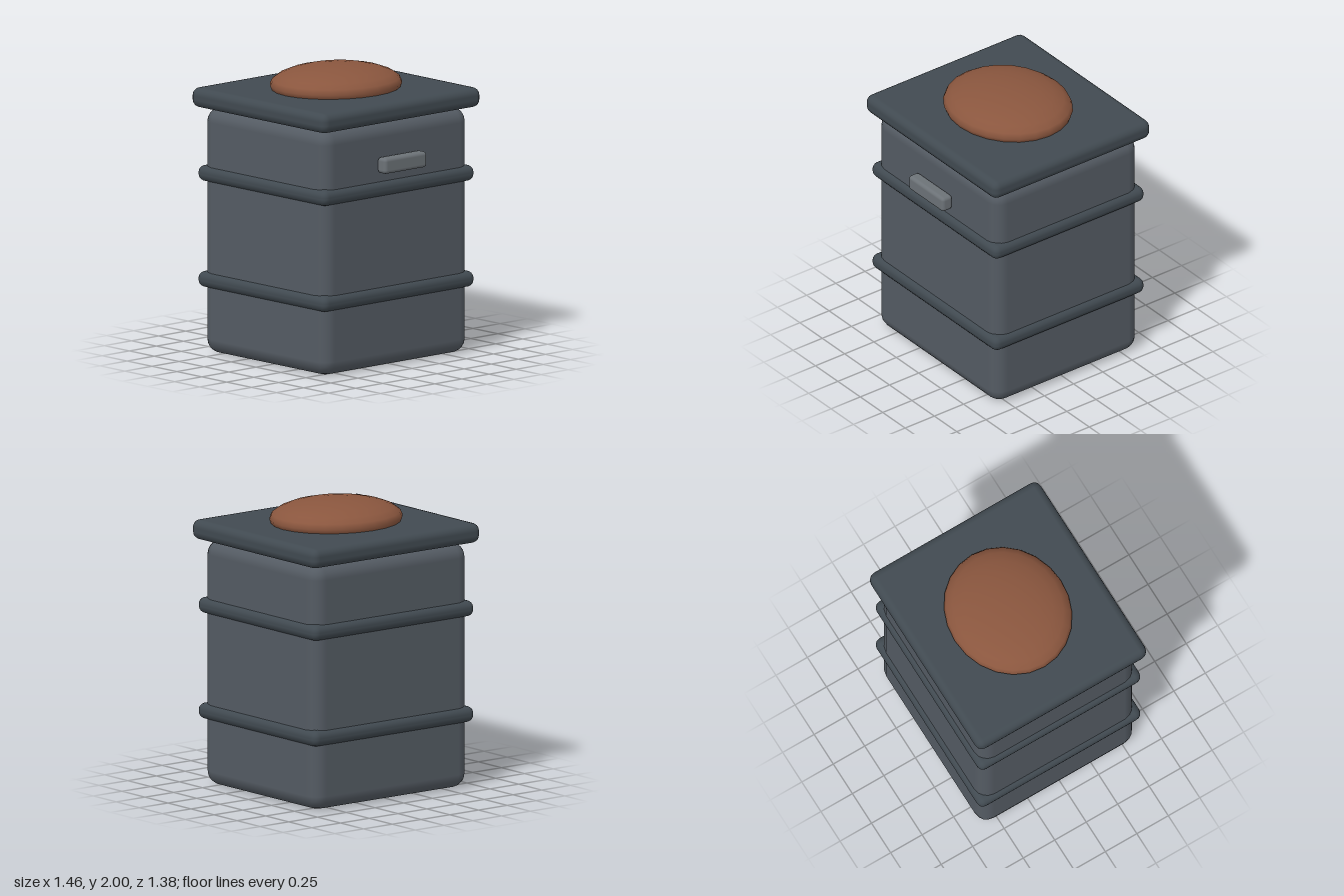
import * as THREE from 'three';
import { RoundedBoxGeometry } from 'three/addons/geometries/RoundedBoxGeometry.js';

const CENTER_Z = -0.014;

function material(color) {
  const m = new THREE.MeshStandardMaterial();
  m.color.set(color);
  return m;
}

export function createModel() {
  const group = new THREE.Group();
  const shell = material(0x545b63);
  const dark = material(0x414a51);
  const metal = material(0x6c7277);
  const leather = material(0x8a563e);

  function add(name, geometry, mat, y, z = CENTER_Z) {
    const mesh = new THREE.Mesh(geometry, mat);
    mesh.name = name;
    mesh.position.set(0, y, z);
    group.add(mesh);
    return mesh;
  }
  const box = (w, h, d, r) => new RoundedBoxGeometry(w, h, d, 2, r);

  // Main container
  add('body', box(1.35, 1.7, 1.236, 0.1), shell, 0.85);

  // Raised bands around the container
  [['lowerBand', 0.51], ['upperBand', 1.243]].forEach(([name, y]) =>
    add(name, box(1.404, 0.11, 1.292, 0.05), dark, y));

  // Overhanging lid
  add('lid', box(1.464, 0.138, 1.35, 0.055), dark, 1.767);

  // Oval cushion half sunk into the lid
  const cushion = new THREE.SphereGeometry(1, 24, 12).scale(0.475, 0.135, 0.422);
  add('cushion', cushion, leather, 1.865);

  // Front handle
  add('handle', box(0.39, 0.11, 0.088, 0.025), metal, 1.413, 0.65);

  return group;
}
